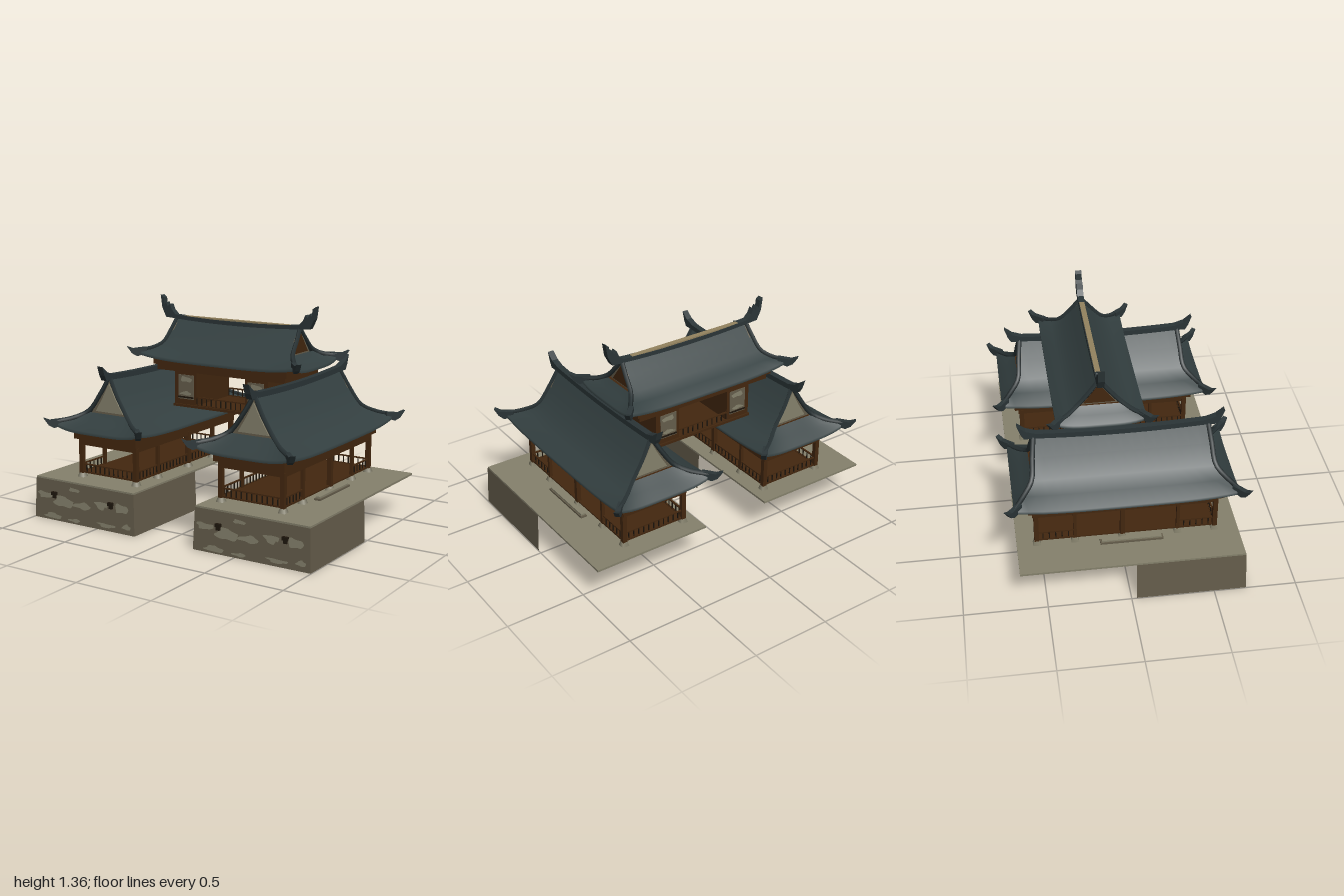
import * as THREE from 'three';

const mat = (name, color, side = THREE.FrontSide) => {
  const m = new THREE.MeshStandardMaterial({ color, side });
  m.name = name;
  return m;
};
const M = {
  tile: mat('roofTile', 0x333f40, THREE.DoubleSide),
  ridge: mat('ridgeTile', 0x2b3537, THREE.DoubleSide),
  wood: mat('wood', 0x43270f, THREE.DoubleSide),
  stone: mat('stone', 0x655d4b, THREE.DoubleSide),
  pale: mat('paleStone', 0x85816c, THREE.DoubleSide),
  dark: mat('darkWood', 0x1e160d),
  cap: mat('ridgeCap', 0x94835f),
};

function add(parent, name, geo, material, x = 0, y = 0, z = 0) {
  const m = new THREE.Mesh(geo, material);
  m.name = name;
  m.position.set(x, y, z);
  parent.add(m);
  return m;
}
// Box given by its min and max on each axis
function block(parent, name, material, x0, x1, y0, y1, z0, z1) {
  return add(parent, name, new THREE.BoxGeometry(Math.abs(x1 - x0), y1 - y0, Math.abs(z1 - z0)), material,
    (x0 + x1) / 2, (y0 + y1) / 2, (z0 + z1) / 2);
}
// Rectangular frame of four beams
function ring(parent, name, hx, hz, y0, y1, t) {
  for (const s of [-1, 1]) {
    block(parent, name, M.wood, -hx, hx, y0, y1, s * hz, s * (hz - t));
    block(parent, name, M.wood, s * hx, s * (hx - t), y0, y1, -hz + t, hz - t);
  }
}
// Surface through rows of points
function sheet(rows) {
  const n = rows[0].length, index = [];
  for (let r = 0; r < rows.length - 1; r++)
    for (let c = 0; c < n - 1; c++) {
      const a = r * n + c, b = a + n;
      index.push(a, b, a + 1, a + 1, b, b + 1);
    }
  const g = new THREE.BufferGeometry();
  g.setAttribute('position', new THREE.Float32BufferAttribute(rows.flat(2), 3));
  g.setIndex(index);
  g.computeVertexNormals();
  return g;
}
const plate = (pts, depth) => new THREE.ExtrudeGeometry(
  new THREE.Shape(pts.map(p => new THREE.Vector2(...p))), { depth, bevelEnabled: false });

// Railing between two points on the floor
function railing(parent, x0, z0, x1, z1, y, h) {
  const g = new THREE.Group();
  g.name = 'railing';
  const len = Math.hypot(x1 - x0, z1 - z0), n = Math.round(len / 0.036);
  for (const ry of [0.004, h]) block(g, 'rail', M.wood, -len / 2, len / 2, ry - 0.004, ry + 0.004, -0.005, 0.005);
  for (let i = 0; i <= n; i++) {
    const x = -len / 2 + len * i / n;
    block(g, 'baluster', M.dark, x - 0.003, x + 0.003, 0, h, -0.003, 0.003);
  }
  g.position.set((x0 + x1) / 2, y, (z0 + z1) / 2);
  g.rotation.y = -Math.atan2(z1 - z0, x1 - x0);
  parent.add(g);
}

// Hip-and-gable roof, ridge along x. Profile rows: [half width, height, half length]; row 2 is the gable foot.
function roof(o) {
  const g = new THREE.Group();
  g.name = 'roof';
  const P = o.profile, eave = P[4], N = 16, lift = 0.03, rowLift = [0, 0, 0, 0.35, 1];
  const us = Array.from({ length: N + 1 }, (_, i) => -1 + 2 * i / N);
  const rim = [eave[0], eave[1] - 0.02, eave[2]];
  const rows = [...P, rim], lifts = [...rowLift, 1];
  const up = (u, k) => lift * lifts[k] * u ** 4;
  for (const s of [-1, 1]) {
    add(g, 'mainSlope', sheet(rows.map(([w, y, l], k) => us.map(u => [u * l, y + up(u, k), s * w]))), M.tile);
    add(g, 'endSlope', sheet(rows.slice(2).map(([w, y, l], k) => us.map(u => [s * l, y + up(u, k + 2), u * w]))), M.tile);
    // Gable with an inset panel
    const [gw, gy, gl] = P[2], gx = gl - 0.035, H = P[0][1];
    const outer = [[-gw, gy - 0.01], [gw, gy - 0.01], [P[1][0], P[1][1]], [0, H], [-P[1][0], P[1][1]]];
    const cy = gy + (H - gy) * 0.3;
    const inner = outer.map(([x, y]) => [x * 0.72, cy + (y - cy) * 0.78]);
    const gable = new THREE.Group();
    gable.name = 'gable';
    add(gable, 'gableFrame', plate(outer, 0.01), M.stone);
    add(gable, 'gablePanel', plate(inner, 0.008), o.panel, 0, 0, 0.009);
    gable.position.x = s * gx;
    gable.rotation.y = s * Math.PI / 2;
    g.add(gable);
    // Verge and hip ridges with upturned corner tips
    for (const t of [-1, 1]) {
      const pts = P.map(([w, y, l], k) => new THREE.Vector3(s * l, y + up(1, k) + 0.008, t * w));
      add(g, 'hipRidge', new THREE.TubeGeometry(new THREE.CatmullRomCurve3(pts), 14, 0.015, 4), M.ridge);
      const tip = add(g, 'cornerTip', plate([[-0.04, 0], [0.02, -0.02], [0.055, 0], [0.085, 0.045], [0.045, 0.03], [-0.04, 0.038]], 0.03)
        .translate(0, 0, -0.015), M.ridge, s * (eave[2] - 0.008), eave[1] + lift - 0.012, t * (eave[0] - 0.008));
      tip.rotation.y = -Math.atan2(t, s);
    }
  }
  // Soffit follows the lifted eaves
  add(g, 'soffit', sheet(us.map(v => us.map(u =>
    [u * eave[2], rim[1] + 0.004 + lift * Math.max(u ** 4 * v ** 2, v ** 4 * u ** 2), v * eave[0]]))), M.wood);
  // Sagging ridge with horned ends
  const sag = us.map(u => [u * o.horn[0][0], o.horn[0][1] - 0.015 * (1 - u * u)]);
  const top = o.horn.at(-1);
  const back = us.map(u => [-u * top[0], top[1] - 0.015 * (1 - u * u)]);
  const flip = o.horn.slice(1, -1).reverse().map(([x, y]) => [-x, y]);
  add(g, 'ridge', plate([...sag, ...o.horn.slice(1, -1), ...back, ...flip], 0.04), M.ridge, 0, 0, -0.02);
  return g;
}

// Rounded blotch of lighter stone
function blotch(w, h, seed) {
  const pts = Array.from({ length: 9 }, (_, i) => {
    const a = i / 9 * Math.PI * 2, r = 1 + 0.28 * Math.sin(i * 2.3 + seed);
    return new THREE.Vector2(Math.cos(a) * w * r, Math.sin(a) * h * r + 0.35 * h * Math.sin(a * 0.5 + seed));
  });
  const shape = new THREE.Shape();
  shape.moveTo(pts[0].x, pts[0].y);
  shape.splineThru([...pts.slice(1), pts[0]]);
  return new THREE.ShapeGeometry(shape, 4);
}

// Side pavilion on a stone terrace; s is the side of the model
function pavilion(s) {
  const g = new THREE.Group();
  g.name = s > 0 ? 'leftPavilion' : 'rightPavilion';
  g.position.x = s * 0.52;
  // Terrace: slab plus three leaning walls
  block(g, 'terraceSlab', M.pale, s * -0.295, s * 0.465, 0.253, 0.266, -0.655, 0.683);
  const bi = s * -0.307, bo = s * 0.477, ti = s * -0.297, to = s * 0.467;
  const wall = (name, x0, z0, x1, z1, X0, Z0, X1, Z1) =>
    add(g, name, sheet([[[X0, 0.256, Z0], [X1, 0.256, Z1]], [[x0, 0, z0], [x1, 0, z1]]]), M.stone);
  wall('frontWall', bi, 0.695, bo, 0.695, ti, 0.685, to, 0.685);
  wall('innerWall', bi, 0.03, bi, 0.695, ti, 0.03, ti, 0.685);
  wall('outerWall', bo, 0.03, bo, 0.695, to, 0.03, to, 0.685);
  const face = new THREE.Group();
  face.name = 'frontWallBlotches';
  face.position.set(0.085 * s, 0, 0.697);
  face.rotation.x = -0.039;
  g.add(face);
  [[-0.31, 0.15, 0.06, 0.02], [-0.17, 0.13, 0.07, 0.028], [-0.01, 0.13, 0.07, 0.022], [0.14, 0.15, 0.05, 0.032],
    [0.29, 0.15, 0.05, 0.025], [-0.25, 0.03, 0.06, 0.015], [-0.07, 0.025, 0.05, 0.013], [0.18, 0.03, 0.07, 0.015],
    [-0.08, 0.215, 0.04, 0.01], [0.33, 0.05, 0.03, 0.015]]
    .forEach(([x, y, w, h], i) => add(face, 'blotch', blotch(w, h, i * 1.7), M.pale, x, y, 0));
  for (const x of [-0.13, 0.315]) {
    block(g, 'drainSpout', M.dark, s * x - 0.018, s * x + 0.018, 0.165, 0.185, 0.68, 0.707);
    block(g, 'drainLip', M.dark, s * x - 0.012, s * x + 0.012, 0.145, 0.165, 0.68, 0.702);
  }
  // Deck and step
  block(g, 'deck', M.wood, -0.215, 0.215, 0.291, 0.299, -0.54, 0.54);
  block(g, 'step', M.stone, s * 0.235, s * 0.275, 0.266, 0.278, -0.16, 0.22);
  block(g, 'stepTop', M.pale, s * 0.24, s * 0.268, 0.278, 0.288, -0.15, 0.21);
  // Columns on stone pads
  const zs = [0.54, 0.315, -0.02, -0.305, -0.535];
  for (const z of zs) for (const x of [-0.21, 0.21]) {
    const r = Math.abs(z) > 0.5 || z === -0.02 ? 0.014 : 0.01;
    block(g, 'column', M.wood, x - r, x + r, 0.285, 0.5, z - r, z + r);
    add(g, 'columnPad', new THREE.CylinderGeometry(0.022, 0.032, 0.026, 4).rotateY(Math.PI / 4), M.pale, x, 0.279, z);
  }
  // Railings: closed all round except the outer middle bays
  for (const z of [0.54, -0.535]) railing(g, -0.21, z, 0.21, z, 0.295, 0.055);
  railing(g, s * -0.21, -0.535, s * -0.21, 0.54, 0.295, 0.055);
  railing(g, s * 0.21, 0.315, s * 0.21, 0.54, 0.295, 0.055);
  railing(g, s * 0.21, -0.535, s * 0.21, -0.305, 0.295, 0.055);
  // Beams
  ring(g, 'lowerBeam', 0.222, 0.555, 0.476, 0.516, 0.03);
  ring(g, 'upperBeam', 0.24, 0.58, 0.516, 0.58, 0.05);
  for (const z of zs.slice(1, 4)) block(g, 'crossBeam', M.wood, -0.2, 0.2, 0.5, 0.57, z - 0.012, z + 0.012);
  const r = roof({
    panel: M.pale,
    profile: [[0, 0.915, 0.515], [0.065, 0.8, 0.53], [0.145, 0.69, 0.545], [0.225, 0.635, 0.6], [0.318, 0.593, 0.662]],
    horn: [[0.5, 0.905], [0.57, 0.905], [0.59, 0.94], [0.61, 0.998], [0.56, 0.958], [0.5, 0.938]],
  });
  r.rotation.y = Math.PI / 2;
  g.add(r);
  return g;
}

// Raised hall bridging the two pavilions
function hall() {
  const g = new THREE.Group();
  g.name = 'raisedHall';
  g.position.z = -0.12;
  block(g, 'hallFloor', M.wood, -0.35, 0.35, 0.684, 0.7, -0.2, 0.2);
  for (const s of [-1, 1]) {
    block(g, 'sideRoom', M.wood, s * 0.18, s * 0.345, 0.7, 0.92, -0.19, 0.19);
    for (const f of [-1, 1]) {
      const z = f * 0.19;
      block(g, 'wallPanel', M.stone, s * 0.2, s * 0.315, 0.735, 0.89, z, z + f * 0.005);
      const streak = add(g, 'panelPatch', blotch(0.04, 0.012, 1), M.pale, s * 0.258, 0.86, z + f * 0.007);
      add(g, 'panelPatch', blotch(0.04, 0.012, 3), M.pale, s * 0.258, 0.775, z + f * 0.007);
      streak.scale.y = 1.2;
      block(g, 'panelSill', M.dark, s * 0.2, s * 0.315, 0.742, 0.752, z, z + f * 0.009);
    }
  }
  for (const z of [-0.185, 0.185]) railing(g, -0.18, z, 0.18, z, 0.697, 0.055);
  ring(g, 'lowerBeam', 0.47, 0.205, 0.91, 0.945, 0.04);
  ring(g, 'upperBeam', 0.49, 0.22, 0.945, 0.985, 0.05);
  g.add(roof({
    panel: M.wood,
    profile: [[0, 1.215, 0.455], [0.06, 1.14, 0.465], [0.128, 1.068, 0.478], [0.19, 1.025, 0.52], [0.264, 0.995, 0.575]],
    horn: [[0.455, 1.215], [0.53, 1.22], [0.56, 1.28], [0.572, 1.36], [0.55, 1.345], [0.545, 1.3], [0.53, 1.315],
      [0.518, 1.29], [0.5, 1.305], [0.485, 1.27], [0.455, 1.24]],
  }));
  block(g, 'ridgeCap', M.cap, -0.39, 0.39, 1.227, 1.236, -0.016, 0.016);
  return g;
}

export function createModel() {
  const model = new THREE.Group();
  model.name = 'gatePavilions';
  model.add(pavilion(1), pavilion(-1), hall());
  return model;
}
